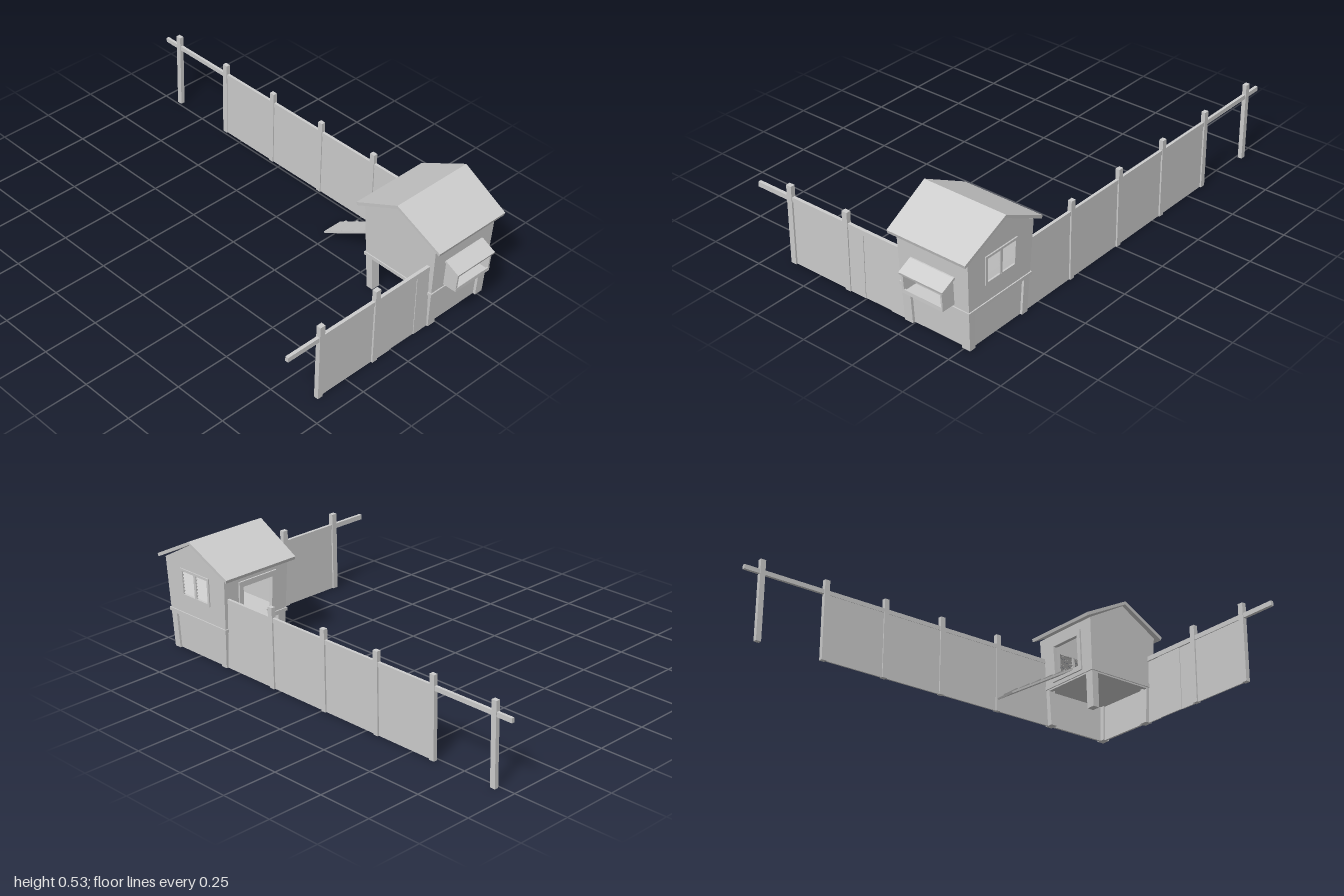
import * as THREE from 'three';

const mat = new THREE.MeshStandardMaterial({ color: 0xcccccc, flatShading: true, side: THREE.DoubleSide });

function add(parent, name, geo) {
  const m = new THREE.Mesh(geo, mat);
  m.name = name;
  parent.add(m);
  return m;
}

// box given by its min and max corners
function box(x0, x1, y0, y1, z0, z1) {
  return new THREE.BoxGeometry(x1 - x0, y1 - y0, z1 - z0)
    .translate((x0 + x1) / 2, (y0 + y1) / 2, (z0 + z1) / 2);
}

// the house widens slightly towards the roof
function flare(geo) {
  const p = geo.attributes.position;
  for (let i = 0; i < p.count; i++) {
    const y = p.getY(i);
    p.setX(i, p.getX(i) * (1 + 0.18 * y));
    p.setZ(i, p.getZ(i) * (1 + 0.3 * y));
  }
  geo.computeVertexNormals();
  return geo;
}

// flat outline with an optional rectangular hole [x0, x1, y0, y1], extruded along z
function slab(points, hole, depth) {
  const shape = new THREE.Shape(points.map(([x, y]) => new THREE.Vector2(x, y)));
  if (hole) shape.holes.push(new THREE.Path(rect(...hole).map(([x, y]) => new THREE.Vector2(x, y))));
  return new THREE.ExtrudeGeometry(shape, { depth, bevelEnabled: false });
}
const rect = (x0, x1, y0, y1) => [[x0, y0], [x1, y0], [x1, y1], [x0, y1]];

const W = 0.162, D = 0.168, T = 0.01; // half width, half depth, wall thickness

function buildHouse() {
  const g = new THREE.Group();
  g.name = 'house';
  const part = (name, geo) => add(g, name, flare(geo));

  // legs, beams and ledge
  for (const sx of [-1, 1]) for (const sz of [-1, 1]) {
    part('leg', box(-0.02, 0.02, 0, 0.165, -0.016, 0.016).translate(sx * (W - 0.02), 0, sz * (D - 0.016)));
  }
  for (const s of [-1, 1]) {
    part('beam', box(-W, W, 0.158, 0.175, -0.008, 0.008).translate(0, 0, s * (D - 0.008)));
    part('beam', box(-0.008, 0.008, 0.158, 0.175, -D, D).translate(s * (W - 0.008), 0, 0));
    part('ledge', box(-W - 0.005, W + 0.005, 0.165, 0.18, -0.005, 0.005).translate(0, 0, s * D));
    part('ledge', box(-0.005, 0.005, 0.165, 0.18, -D - 0.005, D + 0.005).translate(s * W, 0, 0));
  }
  part('floor', box(-W, W, 0.168, 0.18, -D, D));

  // infill below the front and right-hand sides, in line with the fences
  part('lowerPanel', box(-W + 0.02, W - 0.02, 0, 0.165, D - 0.022, D - 0.012));
  part('lowerPanel', box(W - 0.02, W - 0.01, 0, 0.165, -D + 0.02, D - 0.02));

  // front and back walls with openings
  const wallOutline = rect(-W, W, 0.175, 0.41);
  part('frontWall', slab(wallOutline, [-0.08, 0.07, 0.207, 0.28], T).translate(0, 0, D - T));
  part('backWall', slab(wallOutline, [-0.08, 0.07, 0.205, 0.35], T).translate(0, 0, -D));

  // gable walls, one with a window opening
  const gable = [[-D, 0.175], [D, 0.175], [D, 0.41], [0, 0.515], [-D, 0.41]];
  part('windowGable', slab(gable, [-0.075, 0.075, 0.265, 0.375], T).rotateY(Math.PI / 2).translate(W - T, 0, 0));
  part('plainGable', slab(gable, null, T).rotateY(Math.PI / 2).translate(-W, 0, 0));

  // chevron roof, wider at the ridge than at the eaves
  const chevron = [[-0.222, 0.418], [-0.218, 0.404], [0, 0.516], [0.218, 0.404], [0.222, 0.418], [0, 0.531]];
  const roof = slab(chevron, null, 2).rotateY(Math.PI / 2).translate(-1, 0, 0);
  const rp = roof.attributes.position;
  for (let i = 0; i < rp.count; i++) rp.setX(i, rp.getX(i) * (0.189 + 0.075 * (rp.getY(i) - 0.405)));
  roof.computeVertexNormals();
  add(g, 'roof', roof);

  // louvred double window
  part('windowFrame', slab(rect(-0.082, 0.082, 0.257, 0.384), [-0.072, 0.072, 0.268, 0.373], 0.014)
    .rotateY(Math.PI / 2).translate(W - 0.009, 0, 0));
  part('windowMullion', box(W - 0.009, W + 0.004, 0.262, 0.378, -0.006, 0.006));
  for (const s of [-1, 1]) for (let i = 0; i < 7; i++) {
    part('louvre', box(-0.0015, 0.0015, -0.006, 0.006, -0.033, 0.033).rotateZ(0.6)
      .translate(W - 0.003, 0.277 + i * 0.0145, s * 0.039));
  }

  // back door frame
  part('doorFrame', slab(rect(-0.1, 0.09, 0.185, 0.375), [-0.08, 0.07, 0.207, 0.35], 0.01).translate(0, 0, -D - 0.007));

  // projecting box at the front with a sloping lid
  const side = [[0.16, 0.193], [0.241, 0.19], [0.248, 0.28], [0.185, 0.312], [0.17, 0.312]];
  for (const x of [-0.1, 0.09]) {
    add(g, 'boxSide', slab(side, null, 0.008).rotateY(-Math.PI / 2).translate(x + 0.008, 0, 0));
  }
  add(g, 'boxFloor', box(-0.1, 0.098, 0.19, 0.2, 0.17, 0.241));
  add(g, 'boxLip', box(-0.1, 0.098, 0.19, 0.207, 0.236, 0.243));
  const lid = [[0.17, 0.313], [0.186, 0.306], [0.252, 0.274], [0.255, 0.284], [0.19, 0.316], [0.17, 0.316]];
  add(g, 'boxLid', slab(lid, null, 0.215).rotateY(-Math.PI / 2).translate(0.108, 0, 0));

  // ramp with cleats
  const ramp = new THREE.Group();
  ramp.name = 'ramp';
  const run = 0.345, rise = 0.2, len = Math.hypot(run, rise);
  add(ramp, 'rampBoard', box(-0.05, 0.05, -0.004, 0.004, 0, len));
  for (let i = 0; i < 5; i++) {
    const z = 0.04 + i * 0.074;
    add(ramp, 'cleat', box(-0.048, 0.048, 0.004, 0.01, z, z + 0.009));
  }
  ramp.rotation.x = -Math.atan2(rise, run);
  ramp.position.set(0, 0.008, -0.525);
  g.add(ramp);

  g.position.set(0.368, 0, 0.745);
  return g;
}

// fence running along z at the right-hand side
function buildSideFence() {
  const g = new THREE.Group();
  g.name = 'sideFence';
  const posts = [0.295, -0.01, -0.305, -0.605, -0.915];
  const ends = [0.58, ...posts];
  for (const z of posts) add(g, 'post', box(0.509, 0.528, 0, 0.36, z - 0.012, z + 0.012));
  for (let i = 0; i < 4; i++) add(g, 'panel', box(0.514, 0.521, 0, 0.305, ends[i + 1], ends[i]));
  add(g, 'rail', box(0.512, 0.525, 0.295, 0.315, -1, 0.58));
  return g;
}

// fence running along x at the front
function buildFrontFence() {
  const g = new THREE.Group();
  g.name = 'frontFence';
  for (const x of [-0.393, -0.095]) add(g, 'post', box(x - 0.013, x + 0.013, 0, 0.36, 0.89, 0.911));
  const seams = [-0.393, -0.095, -0.005, 0.13, 0.225];
  for (let i = 0; i < 4; i++) {
    const z = 0.897 + (i % 2) * 0.003;
    add(g, 'panel', box(seams[i], seams[i + 1], 0, 0.295, z, z + 0.006));
  }
  add(g, 'rail', box(-0.568, 0.21, 0.289, 0.311, 0.893, 0.908));
  return g;
}

export function createModel() {
  const model = new THREE.Group();
  model.name = 'henHouseWithFences';
  model.add(buildHouse(), buildSideFence(), buildFrontFence());
  return model;
}
